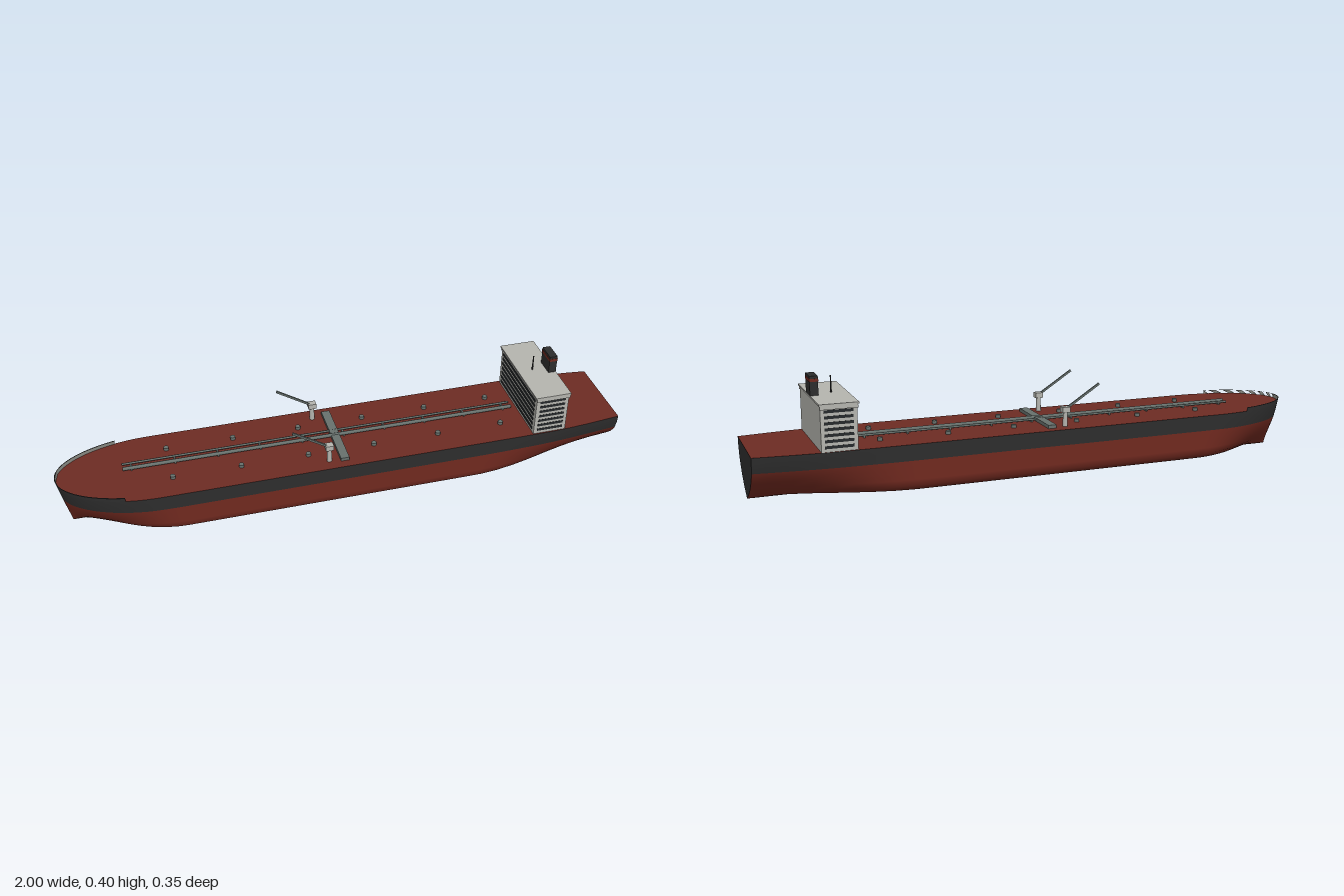
import * as THREE from 'three';

const mat = (name, color) => {
  const m = new THREE.MeshStandardMaterial({ color });
  m.name = name;
  return m;
};

const BEAM = 0.172, DECK = 0.175, WATER = 0.12;

// Hull section rows: height, midship fullness, end (bow and stern) fullness
const SECTION = [
  [0, 0, 0], [0.006, 0.41, 0.07], [0.012, 0.81, 0.14], [0.022, 0.9, 0.26], [0.035, 1, 0.4],
  [0.055, 1, 0.58], [0.08, 1, 0.75], [0.105, 1, 0.88], [WATER, 1, 0.93], [0.15, 1, 0.985],
  [DECK, 1, 1], [0.188, 1, 1],
];

// Half breadth of the deck at a station
function halfBeam(x) {
  if (x < -0.66) return BEAM * Math.sqrt(Math.max(0, 1 - ((x + 0.66) / 0.34) ** 2));
  if (x > 0.7) return BEAM - 0.024 * ((x - 0.7) / 0.3) ** 1.6;
  return BEAM;
}

// Point on the hull skin: station, section row, side (-1 or 1)
function skin(x, row, side, inset = 0) {
  const [y, mid, end] = row;
  const full = THREE.MathUtils.smoothstep(x, -1, -0.58) * (1 - THREE.MathUtils.smoothstep(x, 0.45, 1));
  const rake = 0.04 * (1 - y / 0.188) * (1 - THREE.MathUtils.smoothstep(x, -1, -0.7));
  const z = Math.max(0, halfBeam(x) * THREE.MathUtils.lerp(end, mid, full) - inset);
  return new THREE.Vector3(x + rake + (x < -0.99 ? inset : 0), y, side * z);
}

// Smooth surface through a grid of points
function sheet(grid) {
  const n = grid[0].length, index = [];
  for (let i = 0; i < grid.length - 1; i++) {
    for (let j = 0; j < n - 1; j++) {
      const a = i * n + j, b = a + n;
      index.push(a, b, b + 1, a, b + 1, a + 1);
    }
  }
  const g = new THREE.BufferGeometry().setFromPoints(grid.flat());
  g.setIndex(index);
  g.computeVertexNormals();
  return g;
}

export function createModel() {
  const model = new THREE.Group();
  model.name = 'tankerShip';

  const red = mat('hull red', 0x70291f);
  const deckRed = mat('deck red', 0x6d2b23);
  const black = mat('hull black', 0x2d2d2d);
  const house = mat('house grey', 0xb4b4ae);
  const pipeGrey = mat('pipe grey', 0x67716d);
  const glass = mat('window dark', 0x26292b);
  const rail = mat('bulwark grey', 0x85867f);

  const add = (name, geo, material, x = 0, y = 0, z = 0, parent = model) => {
    const m = new THREE.Mesh(geo, material);
    m.name = name;
    m.position.set(x, y, z);
    parent.add(m);
    return m;
  };
  const box = (name, material, x0, x1, y0, y1, z0, z1, parent) =>
    add(name, new THREE.BoxGeometry(x1 - x0, y1 - y0, z1 - z0), material,
      (x0 + x1) / 2, (y0 + y1) / 2, (z0 + z1) / 2, parent);

  // Stations, closer together at the rounded bow
  const bow = [];
  for (let i = 0; i <= 20; i++) bow.push(-0.58 - 0.42 * Math.cos((i / 20) * Math.PI / 2));
  const stations = [...bow];
  for (let i = 1; i <= 24; i++) stations.push(-0.58 + (1.58 * i) / 24);

  // Lower hull, from the waterline on one side round the keel to the other
  const low = SECTION.slice(0, 9);
  add('lowerHull', sheet(stations.map(x => [
    ...low.slice(1).reverse().map(r => skin(x, r, -1)),
    ...low.map(r => skin(x, r, 1)),
  ])), red);

  // Topsides and bow bulwark on each side
  const high = SECTION.slice(8, 11), wall = SECTION.slice(10);
  const bulwark = stations.filter(x => x < -0.78).concat(-0.78);
  for (const side of [-1, 1]) {
    const order = rows => (side < 0 ? [...rows].reverse() : rows);
    add('topside', sheet(stations.map(x => order(high).map(r => skin(x, r, side)))), black);
    add('bulwark', sheet(bulwark.map(x => order(wall).map(r => skin(x, r, side)))), black);
    add('bulwarkInside', sheet(bulwark.map(x =>
      order(wall).reverse().map(r => skin(x, r, side, 0.003)))), rail);
    const top = SECTION[11];
    const cap = bulwark.map(x => [skin(x, top, side), skin(x, top, side, 0.003)]);
    add('bulwarkCap', sheet(side < 0 ? cap.map(p => p.reverse()) : cap), black);
  }

  // Deck and transom
  add('deck', sheet(stations.map(x => [skin(x, SECTION[10], 1), skin(x, SECTION[10], -1)])), deckRed);
  add('transom', sheet(SECTION.slice(0, 11).map(r => [skin(1, r, -1), skin(1, r, 1)])), black);

  // Deckhouse with bridge wings and window bands on the forward face and sides
  const tower = new THREE.Group();
  tower.name = 'deckhouse';
  model.add(tower);
  box('houseBlock', house, 0.662, 0.782, DECK - 0.003, 0.328, -0.167, 0.167, tower);
  box('bridgeRoof', house, 0.656, 0.786, 0.327, 0.333, -0.173, 0.173, tower);
  for (const s of [-1, 1]) {
    box('bridgeWing', house, 0.66, 0.784, 0.315, 0.328, s * 0.17 - 0.003, s * 0.17 + 0.003, tower);
  }
  for (let i = 0; i < 7; i++) {
    const y = 0.186 + i * 0.0195;
    box('forwardWindows', glass, 0.660, 0.664, y, y + 0.0095, -0.152, 0.152, tower);
    for (const s of [-1, 1]) {
      box('sideWindows', glass, 0.675, 0.77, y, y + 0.0095, s * 0.167 - 0.001, s * 0.167 + 0.001, tower);
    }
  }

  // Funnel with a red band, and a mast
  box('funnel', black, 0.758, 0.786, 0.332, 0.398, -0.034, 0.034, tower);
  box('funnelBand', red, 0.757, 0.787, 0.379, 0.389, -0.035, 0.035, tower);
  add('mast', new THREE.CylinderGeometry(0.002, 0.003, 0.058, 8), black, 0.71, 0.361, 0, tower);

  // Cargo pipes along the deck with supports
  const pipe = (name, r, z) => {
    const m = add(name, new THREE.CylinderGeometry(r, r, 1.41, 8), pipeGrey, -0.065, 0.184, z);
    m.rotation.z = Math.PI / 2;
  };
  pipe('mainPipe', 0.0065, 0);
  pipe('sidePipe', 0.004, -0.026);
  for (let i = 0; i < 10; i++) {
    const x = -0.74 + i * 0.15;
    box('pipeSupport', pipeGrey, x - 0.003, x + 0.003, DECK, 0.183, -0.029, 0.005);
  }

  // Cross manifold amidships
  box('manifold', pipeGrey, -0.037, -0.007, DECK, 0.187, -0.14, 0.14);

  // Tank hatches in two rows
  for (let i = 0; i < 6; i++) {
    for (const s of [-1, 1]) {
      add('tankHatch', new THREE.CylinderGeometry(0.009, 0.009, 0.012, 10), pipeGrey,
        -0.61 + i * 0.236, DECK + 0.005, s * 0.08);
    }
  }

  // Hose cranes either side
  for (const s of [-1, 1]) {
    const crane = new THREE.Group();
    crane.name = 'crane';
    crane.position.set(-0.075, DECK, s * 0.125);
    model.add(crane);
    add('cranePost', new THREE.CylinderGeometry(0.008, 0.009, 0.055, 10), house, 0, 0.027, 0, crane);
    box('craneCab', house, -0.014, 0.014, 0.05, 0.069, -0.012, 0.012, crane);
    const boom = add('craneBoom', new THREE.BoxGeometry(0.148, 0.007, 0.007), pipeGrey,
      -0.064, 0.101, 0, crane);
    boom.rotation.z = -Math.atan2(0.08, 0.125);
  }

  return model;
}
